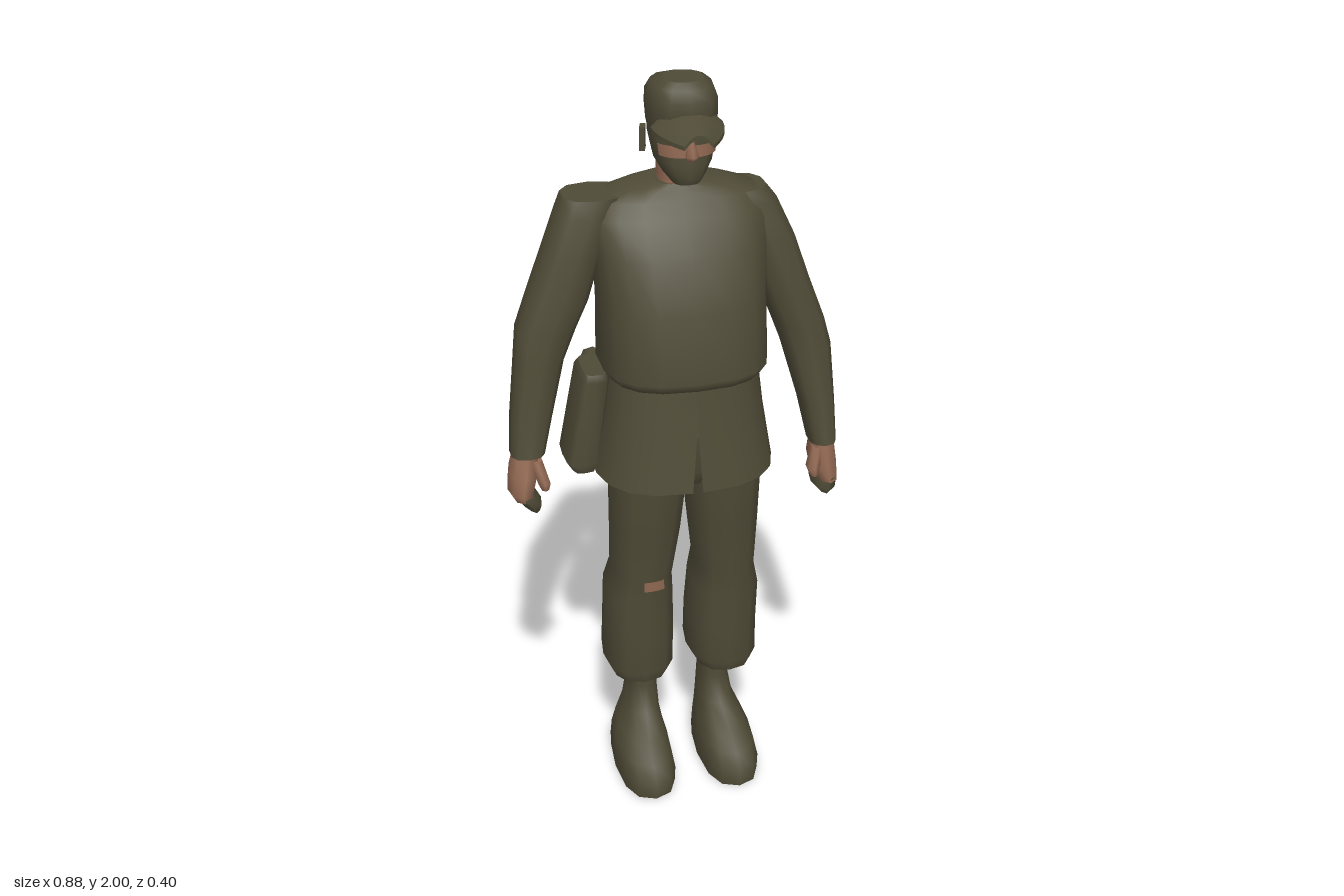
import * as THREE from 'three';

const MID = 0.035; // body axis
const olive = new THREE.MeshStandardMaterial({ color: 0x4f4b37, side: THREE.DoubleSide });
olive.name = 'olive cloth';
const skin = new THREE.MeshStandardMaterial({ color: 0x916852, side: THREE.DoubleSide });
skin.name = 'skin';

// Skin a stack of rounded sections: [y, x0, x1, z0, z1, frontDrop, frontGap].
// arc = [start, end] makes an open patch, angle 0 being the front and PI/2 being +x.
function loft(rows, { seg = 14, pow = 0.8, arc = null, grow = 0, caps = true } = {}) {
  const rings = [...rows].sort((a, b) => a[0] - b[0]);
  const bend = (v) => Math.sign(v) * Math.abs(v) ** pow;
  const pos = [], idx = [];
  const open = arc || rings.some((r) => r[6] !== undefined);
  const n = open ? seg + 1 : seg;
  for (const [y, x0, x1, z0, z1, drop = 0, gap = 0] of rings) {
    const a0 = arc ? arc[0] : gap, a1 = arc ? arc[1] : Math.PI * 2 - gap;
    for (let j = 0; j < n; j++) {
      const t = a0 + ((a1 - a0) * j) / seg;
      pos.push((x0 + x1) / 2 + ((x1 - x0) / 2 + grow) * bend(Math.sin(t)),
        y - drop * Math.cos(t),
        (z0 + z1) / 2 + ((z1 - z0) / 2 + grow) * bend(Math.cos(t)));
    }
  }
  for (let i = 0; i < rings.length - 1; i++)
    for (let j = 0; j < seg; j++) {
      const a = i * n + j, b = i * n + ((j + 1) % n);
      idx.push(a, b, a + n, b, b + n, a + n);
    }
  if (caps && !open)
    for (const i of [0, rings.length - 1]) {
      const [y, x0, x1, z0, z1] = rings[i];
      const start = pos.length / 3;
      pos.push(...pos.slice(i * n * 3, (i + 1) * n * 3), (x0 + x1) / 2, y, (z0 + z1) / 2);
      for (let j = 0; j < n; j++) {
        const a = start + j, b = start + ((j + 1) % n);
        idx.push(start + n, ...(i ? [a, b] : [b, a]));
      }
    }
  const g = new THREE.BufferGeometry();
  g.setAttribute('position', new THREE.Float32BufferAttribute(pos, 3));
  g.setIndex(idx);
  g.computeVertexNormals();
  return g;
}

const mirrorRows = (rows) =>
  rows.map(([y, x0, x1, ...rest]) => [y, 2 * MID - x1, 2 * MID - x0, ...rest]);

export function createModel() {
  const model = new THREE.Group();
  const add = (name, geometry, material = olive) => {
    const mesh = new THREE.Mesh(geometry, material);
    mesh.name = name;
    model.add(mesh);
    return mesh;
  };

  // Jacket: bloused top over a flared skirt with a front slit
  add('jacketTop', loft([
    [1.245, -0.165, 0.235, -0.175, 0.165], [1.275, -0.185, 0.25, -0.19, 0.187],
    [1.45, -0.18, 0.25, -0.2, 0.157], [1.58, -0.19, 0.26, -0.2, 0.11],
    [1.66, -0.2, 0.265, -0.185, 0.055], [1.7, -0.18, 0.24, -0.165, 0.025],
    [1.722, -0.1, 0.17, -0.152, 0.005], [1.735, -0.03, 0.105, -0.14, -0.005],
  ], { seg: 18, pow: 0.75 }));
  add('jacketSkirt', loft([
    [1.27, -0.16, 0.225, -0.15, 0.155, 0, 0], [1.14, -0.175, 0.24, -0.16, 0.172, 0, 0],
    [0.985, -0.21, 0.267, -0.19, 0.197, 0.015, 0.022],
  ], { seg: 18, pow: 0.75 }));

  // Sleeves
  add('leftSleeve', loft([
    [1.7, 0.12, 0.265, -0.14, 0], [1.67, 0.13, 0.29, -0.15, 0.015],
    [1.57, 0.185, 0.335, -0.14, 0.035], [1.45, 0.235, 0.375, -0.12, 0.045],
    [1.34, 0.28, 0.415, -0.105, 0.055], [1.27, 0.305, 0.432, -0.085, 0.062],
    [1.12, 0.345, 0.438, -0.04, 0.085], [1.01, 0.365, 0.438, 0.005, 0.105],
  ], { seg: 10 }));
  add('rightSleeve', loft([
    [1.71, -0.26, -0.1, -0.14, 0], [1.67, -0.275, -0.12, -0.15, 0.015],
    [1.57, -0.315, -0.165, -0.14, 0.035], [1.45, -0.365, -0.205, -0.115, 0.045],
    [1.38, -0.393, -0.24, -0.1, 0.05], [1.3, -0.402, -0.275, -0.085, 0.055],
    [1.15, -0.422, -0.315, -0.045, 0.07], [1.06, -0.43, -0.34, -0.01, 0.085],
  ], { seg: 10 }));

  // Half-closed hands with gloved fingers
  add('leftHand', loft([
    [1.03, 0.372, 0.432, 0.015, 0.095], [0.96, 0.365, 0.44, 0.003, 0.115],
    [0.905, 0.385, 0.44, 0.003, 0.122],
  ], { seg: 8 }), skin);
  add('leftThumb', loft([
    [1.0, 0.368, 0.4, 0.06, 0.1], [0.95, 0.35, 0.385, 0.075, 0.12], [0.925, 0.36, 0.38, 0.085, 0.115],
  ], { seg: 6 }), skin);
  add('leftFingers', loft([
    [0.915, 0.39, 0.438, 0.004, 0.12], [0.885, 0.375, 0.435, 0.008, 0.122], [0.87, 0.39, 0.42, 0.012, 0.115],
  ], { seg: 8 }));
  add('rightHand', loft([
    [1.08, -0.422, -0.35, 0, 0.075], [1.01, -0.437, -0.36, -0.02, 0.1],
    [0.965, -0.442, -0.375, -0.015, 0.112], [0.945, -0.43, -0.38, -0.01, 0.105],
  ], { seg: 8 }), skin);
  add('rightThumb', loft([
    [1.05, -0.385, -0.35, 0.04, 0.085], [0.995, -0.37, -0.335, 0.06, 0.11], [0.975, -0.36, -0.34, 0.07, 0.105],
  ], { seg: 6 }), skin);
  add('rightFingers', loft([
    [0.955, -0.43, -0.375, -0.008, 0.108], [0.93, -0.41, -0.355, -0.008, 0.108], [0.912, -0.39, -0.362, 0, 0.1],
  ], { seg: 8 }));

  // Trousers and boots, mirrored about the body axis
  const leg = [
    [1.06, 0.03, 0.235, -0.1, 0.14], [0.93, 0.036, 0.237, -0.105, 0.135],
    [0.8, 0.048, 0.235, -0.102, 0.12], [0.65, 0.068, 0.232, -0.11, 0.1],
    [0.58, 0.062, 0.248, -0.135, 0.098], [0.45, 0.058, 0.248, -0.16, 0.09],
    [0.345, 0.058, 0.25, -0.17, 0.086], [0.312, 0.075, 0.235, -0.15, 0.075],
  ];
  const boot = [
    [0.33, 0.1, 0.182, -0.12, 0.02], [0.25, 0.1, 0.178, -0.12, 0.015],
    [0.17, 0.095, 0.192, -0.127, 0.035], [0.12, 0.088, 0.215, -0.138, 0.105],
    [0.085, 0.08, 0.23, -0.143, 0.165], [0.045, 0.075, 0.236, -0.145, 0.203],
    [0, 0.076, 0.235, -0.143, 0.2],
  ];
  add('leftTrouserLeg', loft(leg, { seg: 12 }));
  add('rightTrouserLeg', loft(mirrorRows(leg), { seg: 12 }));
  add('leftBoot', loft(boot, { seg: 12 }));
  add('rightBoot', loft(mirrorRows(boot), { seg: 12 }));
  add('trouserSeat', loft([
    [1.1, -0.16, 0.23, -0.1, 0.14], [0.99, -0.162, 0.232, -0.1, 0.132], [0.94, -0.1, 0.17, -0.08, 0.1],
  ]));

  // Torn cloth at the knee and calf
  add('kneeTear', loft([
    [0.655, -0.162, 0.002, -0.11, 0.1], [0.625, -0.162, 0.004, -0.12, 0.099],
  ], { seg: 4, arc: [-0.1, 0.42], grow: 0.004 }), skin);
  add('calfTear', loft([
    [0.47, 0.058, 0.248, -0.156, 0.091], [0.45, 0.058, 0.248, -0.16, 0.09],
  ], { seg: 2, arc: [3.05, 3.25], grow: 0.004 }), skin);

  // Neck and head
  add('neck', loft([
    [1.68, -0.025, 0.1, -0.14, 0.005], [1.745, -0.015, 0.09, -0.13, -0.005], [1.82, -0.015, 0.09, -0.13, 0],
  ], { seg: 10 }), skin);
  add('head', loft([
    [1.748, 0.005, 0.075, -0.04, 0.043], [1.768, -0.012, 0.092, -0.1, 0.052],
    [1.8, -0.03, 0.112, -0.135, 0.052], [1.85, -0.04, 0.124, -0.152, 0.048], [1.91, -0.04, 0.125, -0.155, 0.045],
  ], { seg: 12 }));
  add('eyeOpening', loft([
    [1.822, -0.036, 0.119, -0.145, 0.05], [1.852, -0.04, 0.124, -0.152, 0.048],
  ], { seg: 10, arc: [-1, 1], grow: 0.004 }), skin);
  add('nose', loft([
    [1.865, 0.035, 0.05, 0.03, 0.055], [1.828, 0.025, 0.06, 0.03, 0.077], [1.815, 0.03, 0.055, 0.03, 0.065],
  ], { seg: 6 }), skin);
  for (const [side, s] of [['left', 1], ['right', -1]]) {
    const ear = add(side + 'Ear', new THREE.BoxGeometry(0.014, 0.06, 0.035));
    ear.position.set(0.041 + s * 0.088, 1.835, -0.085);
    ear.rotation.y = s * 0.3;
  }

  // Cap with a drooping peak
  add('capCrown', loft([
    [1.875, -0.042, 0.126, -0.158, 0.048], [1.92, -0.045, 0.129, -0.167, 0.056],
    [1.955, -0.044, 0.128, -0.16, 0.056], [1.983, -0.032, 0.116, -0.135, 0.042],
    [2, -0.008, 0.092, -0.08, 0.022],
  ], { seg: 12 }));
  const peak = new THREE.BoxGeometry(1, 0.01, 1, 8, 1, 5);
  const p = peak.attributes.position;
  for (let i = 0; i < p.count; i++) {
    const u = p.getX(i) * 2, t = p.getZ(i) + 0.5;
    p.setXYZ(i, 0.041 + u * 0.09 * (1 - 0.6 * t * t),
      p.getY(i) + 1.938 - 0.038 * t - 0.05 * u * u * (1 - 0.5 * t), 0.01 + 0.122 * t);
  }
  peak.computeVertexNormals();
  add('capPeak', peak);

  // Hip pouch with a sheathed tool behind it
  add('hipPouch', loft([
    [1.252, -0.225, -0.165, -0.1, 0.03], [1.235, -0.235, -0.16, -0.115, 0.04],
    [1.0, -0.28, -0.19, -0.115, 0.04], [0.972, -0.262, -0.2, -0.1, 0.03],
  ], { seg: 12, pow: 0.5 }));
  const knob = add('toolKnob', new THREE.CylinderGeometry(0.036, 0.036, 0.05, 8));
  knob.position.set(-0.175, 1.2, -0.15);
  knob.rotation.set(Math.PI / 2, 0, 0.4);
  add('toolSheath', loft([
    [1.2, -0.198, -0.158, -0.165, -0.125], [1.08, -0.228, -0.19, -0.15, -0.11], [0.98, -0.25, -0.222, -0.135, -0.105],
  ], { seg: 8 }));

  return model;
}
